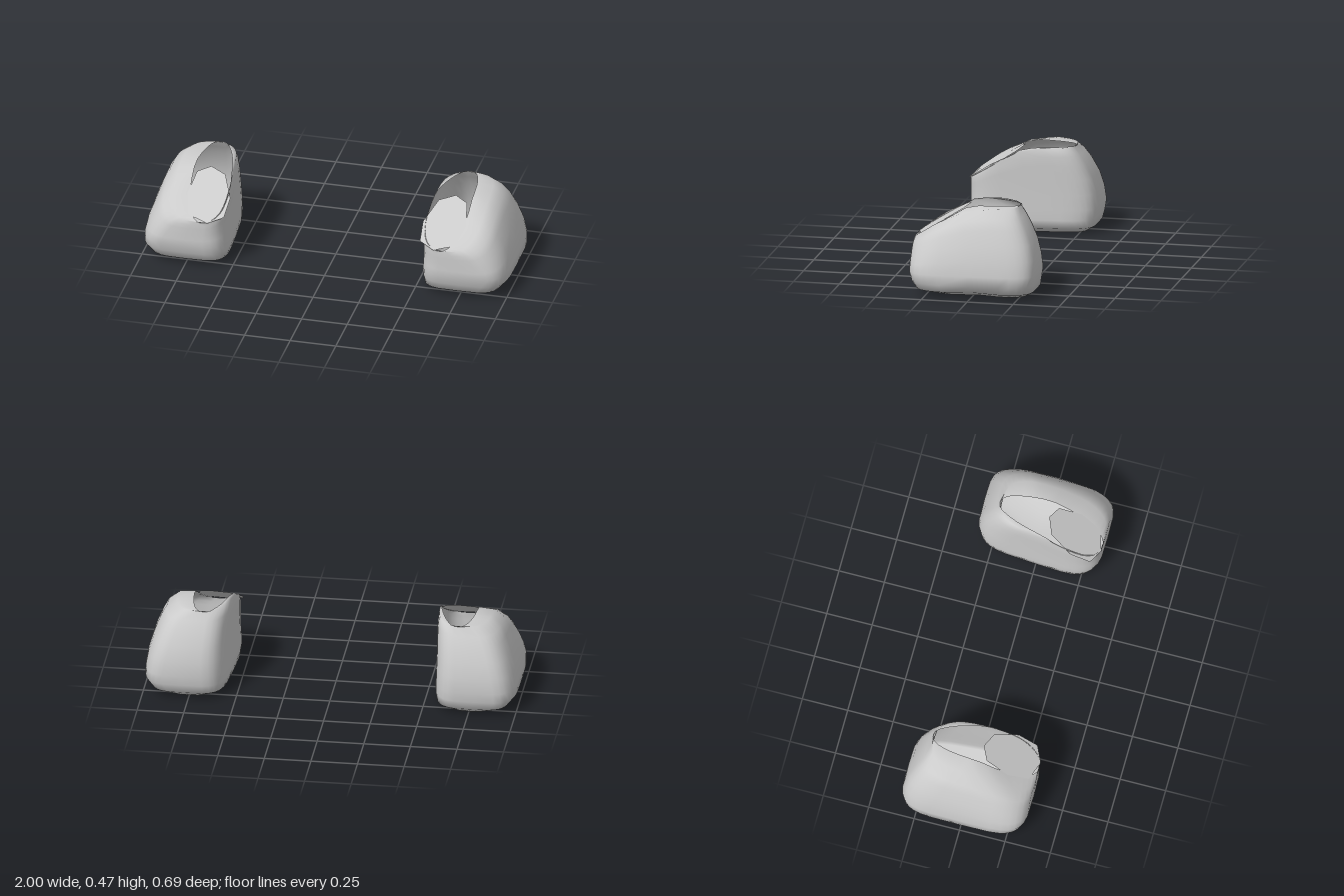
import * as THREE from 'three';

const N = 32;
const material = new THREE.MeshStandardMaterial({ color: 0xcccccc, side: THREE.DoubleSide, roughness: 0.8 });

// Height of the instep line along z
const TOP = [[-0.4, 0.475], [-0.2, 0.477], [-0.09, 0.48], [0.05, 0.46], [0.2, 0.39], [0.31, 0.315], [0.4, 0.24]];
function topHeight(z) {
  let i = 0;
  while (i < TOP.length - 2 && z > TOP[i + 1][0]) i++;
  const [a, b] = [TOP[i], TOP[i + 1]];
  return a[1] + (b[1] - a[1]) * (z - a[0]) / (b[0] - a[0]);
}

// Slanted plane of the ankle opening
const planeY = z => 0.285 + (0.345 - z) * 0.61;
const power = (v, e) => Math.sign(v) * Math.abs(v) ** (2 / e);

// Levels from sole to shoulder: y, inner x, outer x, back z, front z, squareness
const LEVELS = [
  [0.004, 0.60, 0.86, -0.28, 0.21, 4],
  [0.04, 0.522, 0.965, -0.33, 0.31, 4.5],
  [0.085, 0.518, 1.0, -0.338, 0.33, 4.5],
  [0.14, 0.52, 0.998, -0.347, 0.345, 4.5],
  [0.22, 0.522, 0.985, -0.338, 0.345, 4.2],
  [0.30, 0.524, 0.96, -0.318, 0.345, 4],
  [0.38, 0.524, 0.928, -0.282, 0.345, 3.8],
  [0.43, 0.525, 0.90, -0.252, 0.345, 3.6],
  [0.476, 0.53, 0.845, -0.22, 0.343, 3.2],
];

function levelPoint([y, x0, x1, z0, z1, e], angle) {
  const c = power(Math.cos(angle), e), s = power(Math.sin(angle), e);
  const z = (z0 + z1) / 2 + s * (z1 - z0) / 2;
  let x = (x0 + x1) / 2 + c * (x1 - x0) / 2;
  x += 0.07 * (0.345 - z) * (0.5 - 0.5 * c); // inner side narrows to the heel
  if (c > 0 && y < 0.06) x -= 0.03 * c * Math.exp(-((z / 0.07) ** 2)); // waist of the sole
  const height = y < 0.13 ? y : 0.13 + (y - 0.13) * (topHeight(z) - 0.13) / 0.35;
  return [x, height, z];
}

function rimPoint(angle) {
  const c = power(Math.cos(angle), 2.3), s = power(Math.sin(angle), 2.3);
  const z = 0.0575 + 0.2875 * s;
  const shift = Math.min(0.07, 0.18 * Math.max(0, 0.2 - z)) * (0.5 - 0.5 * c);
  return [0.645 + 0.115 * c + shift, Math.min(0.474, planeY(z)), z];
}

function build(points, faces, side) {
  const geometry = new THREE.BufferGeometry();
  const position = points.flatMap(([x, y, z]) => [x * side, y, z]);
  geometry.setAttribute('position', new THREE.Float32BufferAttribute(position, 3));
  geometry.setIndex(faces.flatMap(([a, b, c]) => (side > 0 ? [a, b, c] : [a, c, b])));
  geometry.computeVertexNormals();
  return new THREE.Mesh(geometry, material);
}

// Hollow rounded shoe, open at the ankle
function shoeShell(side) {
  const points = [[0.73, 0.003, -0.03]], faces = [];
  for (let r = 0; r <= LEVELS.length; r++) {
    for (let i = 0; i < N; i++) {
      const angle = i / N * Math.PI * 2;
      points.push(r < LEVELS.length ? levelPoint(LEVELS[r], angle) : rimPoint(angle));
    }
  }
  for (let i = 0; i < N; i++) {
    const j = (i + 1) % N;
    faces.push([0, 1 + i, 1 + j]);
    for (let r = 0; r < LEVELS.length; r++) {
      const a = 1 + r * N + i, b = 1 + r * N + j;
      faces.push([a, a + N, b], [b, a + N, b + N]);
    }
  }
  const mesh = build(points, faces, side);
  mesh.name = 'shoeShell';
  return mesh;
}

// Flat slanted panel over the front of the opening
function anklePanel(side) {
  const outline = [[0.67, 0.045], [0.74, 0.08], [0.763, 0.2], [0.73, 0.31],
    [0.62, 0.345], [0.537, 0.305], [0.528, 0.2], [0.585, 0.08]];
  const points = outline.map(([x, z]) => [x, planeY(z) + 0.002, z]);
  const faces = [];
  for (let i = 1; i < outline.length - 1; i++) faces.push([0, i + 1, i]);
  const mesh = build(points, faces, side);
  mesh.name = 'anklePanel';
  return mesh;
}

export function createModel() {
  const model = new THREE.Group();
  model.name = 'shoes';
  for (const side of [1, -1]) {
    const shoe = new THREE.Group();
    shoe.name = side > 0 ? 'leftShoe' : 'rightShoe';
    shoe.add(shoeShell(side), anklePanel(side));
    model.add(shoe);
  }
  return model;
}
